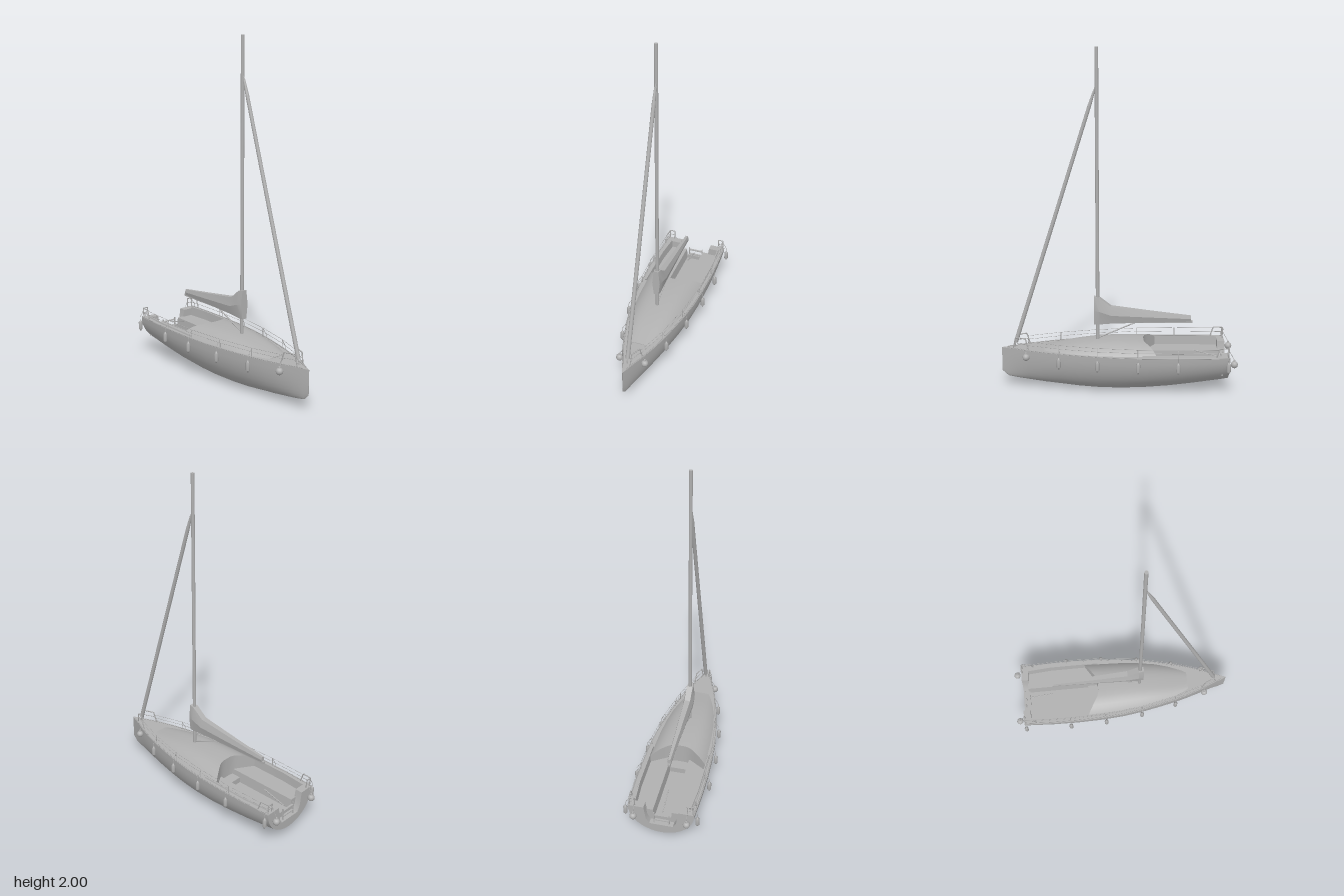
import * as THREE from 'three';
import { toCreasedNormals } from 'three/addons/utils/BufferGeometryUtils.js';

const DECK = 0.245, BENCH = 0.2, SOLE = 0.135;
const V = (x, y, z) => new THREE.Vector3(x, y, z);

// Hull stations: z, half beam at deck, keel height
const STATIONS = [
  [0.69, 0.001, 0.1], [0.655, 0.016, 0.067], [0.6, 0.036, 0.055], [0.53, 0.066, 0.045],
  [0.43, 0.1, 0.031], [0.34, 0.125, 0.021], [0.23, 0.15, 0.009], [0.12, 0.172, 0.002],
  [0, 0.19, 0], [-0.14, 0.201, 0.004], [-0.3, 0.206, 0.017], [-0.45, 0.205, 0.036],
  [-0.6, 0.199, 0.058], [-0.645, 0.196, 0.066],
];

// Half beam at any z
function beam(z) {
  for (let i = 1; i < STATIONS.length; i++) {
    const [a, b] = [STATIONS[i - 1], STATIONS[i]];
    if (z >= b[0]) return THREE.MathUtils.mapLinear(z, a[0], b[0], a[1], b[1]);
  }
  return 0.196;
}

// Surface through rows of points
function loft(rows, crease = 0.4) {
  const n = rows[0].length, index = [];
  for (let i = 0; i < rows.length - 1; i++) {
    for (let j = 0; j < n - 1; j++) {
      const a = i * n + j, b = a + n;
      index.push(a, a + 1, b, a + 1, b + 1, b);
    }
  }
  const g = new THREE.BufferGeometry().setFromPoints(rows.flat());
  g.setIndex(index);
  return toCreasedNormals(g, crease);
}

// Mirrors a half section (outer to inner) across x = 0
const bothSides = (pts) => [...pts, ...pts.slice().reverse().map((p) => V(-p.x, p.y, p.z))];

export function createModel() {
  const boat = new THREE.Group();
  boat.name = 'sailboat';
  const grey = new THREE.MeshStandardMaterial({ color: 0xb0b0b0, side: THREE.DoubleSide });
  grey.name = 'plain grey';

  const add = (name, geometry, x = 0, y = 0, z = 0) => {
    const m = new THREE.Mesh(geometry, grey);
    m.name = name;
    m.position.set(x, y, z);
    boat.add(m);
    return m;
  };
  // Round bar between two points
  const bar = (name, a, b, r0, r1 = r0, sides = 8) => {
    const d = b.clone().sub(a);
    const m = add(name, new THREE.CylinderGeometry(r1, r0, d.length(), sides));
    m.position.copy(a).add(b).multiplyScalar(0.5);
    m.quaternion.setFromUnitVectors(V(0, 1, 0), d.normalize());
    return m;
  };
  const rail = (name, pts, r) => {
    for (let i = 1; i < pts.length; i++) bar(name, pts[i - 1], pts[i], r, r, 5);
  };

  // Hull skin with half-elliptic sections
  const section = ([z, w, k]) => Array.from({ length: 21 }, (_, j) => {
    const a = (j / 20) * Math.PI;
    return V(w * Math.cos(a), DECK - (DECK - k) * Math.sin(a), z);
  });
  add('hull', loft(STATIONS.map(section), 0.6));

  // Foredeck under the cabin
  add('foredeck', loft(STATIONS.filter((s) => s[0] >= -0.14)
    .map(([z, w]) => bothSides([V(w, DECK, z)]))));

  // Side decks, coamings, benches and sole in one stepped section
  const cockpitWidth = (z) => (z > -0.45 ? 0.172 : THREE.MathUtils.mapLinear(z, -0.45, -0.6, 0.172, 0.16));
  add('cockpit', loft([-0.14, -0.3, -0.45, -0.6].map((z) => {
    const w = beam(z), c = cockpitWidth(z);
    return bothSides([V(w, DECK, z), V(c + 0.008, DECK, z), V(c + 0.006, DECK + 0.008, z),
      V(c, DECK + 0.008, z), V(c - 0.004, BENCH, z), V(0.056, BENCH, z), V(0.05, SOLE, z)]);
  })));

  // Stern notch between cockpit and transom
  const notch = [[0.102, DECK], [0.09, 0.16], [0.07, 0.125]];
  add('sternNotch', loft([-0.6, -0.645].map((z) =>
    bothSides([V(beam(z), DECK, z), ...notch.map(([x, y]) => V(x, y, z))]))));

  // Transom, cut out in the middle
  const transom = new THREE.Shape();
  section(STATIONS[13]).forEach((p, i) => (i ? transom.lineTo(p.x, p.y) : transom.moveTo(p.x, p.y)));
  notch.forEach(([x, y]) => transom.lineTo(-x, y));
  notch.slice().reverse().forEach(([x, y]) => transom.lineTo(x, y));
  add('transom', new THREE.ShapeGeometry(transom), 0, 0, -0.645);

  // Cockpit aft bulkhead with a central gap
  const back = new THREE.Shape([[-0.16, DECK], [-0.16, 0.125], [0.16, 0.125], [0.16, DECK],
    [0.102, DECK], [0.095, BENCH], [0.056, BENCH], [0.052, 0.16], [-0.052, 0.16],
    [-0.056, BENCH], [-0.095, BENCH], [-0.102, DECK]].map(([x, y]) => new THREE.Vector2(x, y)));
  add('aftBulkhead', new THREE.ExtrudeGeometry(back, { depth: 0.008, bevelEnabled: false }), 0, 0, -0.608);

  // Boarding ladder
  for (const y of [0.15, 0.185]) add('ladderTread', new THREE.BoxGeometry(0.09, 0.006, 0.012), 0, y, -0.63);
  for (const x of [-0.045, 0.045]) add('ladderSide', new THREE.BoxGeometry(0.006, 0.075, 0.008), x, 0.163, -0.63);

  // Cabin roof: z, half width, crown height; its aft edge sweeps back at the sides
  const cabin = [[0.435, 0.055, 0.004], [0.4, 0.075, 0.01], [0.32, 0.107, 0.027], [0.23, 0.133, 0.042],
    [0.12, 0.151, 0.054], [0, 0.162, 0.058], [-0.09, 0.167, 0.057], [-0.15, 0.17, 0.054]];
  const roof = cabin.map(([z, w, h], i) => Array.from({ length: 17 }, (_, j) => {
    const t = Math.cos((j / 16) * Math.PI), x = w * t;
    const sweep = Math.max(0, (Math.abs(x) - 0.05) / 0.12) * 0.075 * Math.max(0, i - 5) / 2;
    return V(x, DECK + h * (1 - Math.abs(t) ** 3.2), z - sweep);
  }));
  add('cabin', loft(roof, 0.6));
  const edge = roof[roof.length - 1];
  add('cabinFront', loft([roof[0], roof[0].map((p) => V(p.x, DECK, p.z))]));
  add('cabinBulkhead', loft([edge, edge.map((p) => V(p.x, Math.abs(p.x) < 0.06 ? SOLE : BENCH, p.z))]));
  add('companionwayStep', new THREE.BoxGeometry(0.098, 0.035, 0.065), 0, SOLE + 0.017, -0.182);
  bar('tiller', V(0, 0.185, -0.6), V(0, 0.225, -0.45), 0.003);

  // Mast, furled headsail and boom vang
  bar('mast', V(0, 0.25, 0.12), V(0, 2, 0.12), 0.0105, 0.0105, 12);
  const tack = V(0, 0.25, 0.615), head = V(0, 1.78, 0.127);
  const along = (t) => tack.clone().lerp(head, t);
  bar('forestay', tack, head, 0.004);
  bar('furledHeadsail', along(0.02), along(0.93), 0.0125, 0.0105, 10);
  bar('furledHeadsailTip', along(0.93), along(0.985), 0.0105, 0.006, 10);
  bar('boomVang', V(0, 0.305, 0.115), V(0, 0.402, -0.11), 0.004);

  // Stowed mainsail: z, bottom, top, half width
  const sail = [[0.142, 0.39, 0.56, 0.024], [0.11, 0.392, 0.555, 0.031], [0.04, 0.397, 0.5, 0.029],
    [-0.2, 0.402, 0.468, 0.021], [-0.43, 0.405, 0.44, 0.012]];
  const sailRows = sail.map(([z, lo, hi, w]) => {
    const mid = (lo + hi) / 2;
    return [[0.6, lo], [1, mid], [0.6, hi], [-0.6, hi], [-1, mid], [-0.6, lo], [0.6, lo]]
      .map(([k, y]) => V(k * w, y, z));
  });
  const cap = (row) => row.map(() => V(0, (row[0].y + row[2].y) / 2, row[0].z));
  add('stowedMainsail', loft([cap(sailRows[0]), ...sailRows, cap(sailRows[4])], 0.3));
  add('boom', new THREE.BoxGeometry(0.016, 0.014, 0.56), 0, 0.404, -0.16);

  // Toe rails, lifelines, pulpits and fenders on both sides
  for (const s of [1, -1]) {
    const side = (z, y, inset = 0.01) => V(s * (beam(z) - inset), y, z);
    rail('toeRail', STATIONS.slice(1).map(([z]) => side(z, DECK + 0.002, 0.004)), 0.003);

    const posts = [0.345, 0.12, -0.115, -0.345];
    posts.forEach((z) => bar('stanchion', side(z, DECK), side(z, 0.298), 0.0025));
    for (const y of [0.275, 0.297]) {
      rail('lifeline', [0.54, ...posts, -0.58].map((z) => side(z, y)), 0.0012);
    }
    rail('bowPulpit', [side(0.525, DECK), side(0.545, 0.314), side(0.605, 0.314, 0.008),
      side(0.62, DECK, 0.008)], 0.0035);
    rail('bowPulpitMidRail', [side(0.535, 0.282), side(0.612, 0.282, 0.008)], 0.002);
    rail('sternPulpit', [side(-0.565, DECK), side(-0.585, 0.302), side(-0.64, 0.302),
      V(s * 0.155, 0.302, -0.64), V(s * 0.155, DECK, -0.635)], 0.0035);
    bar('sternPulpitPost', side(-0.635, DECK), side(-0.64, 0.302), 0.0035);
    rail('sternPulpitMidRail', [side(-0.575, 0.274), side(-0.638, 0.274), V(s * 0.155, 0.274, -0.638)], 0.002);

    // Long fenders hung from the lifelines
    const fender = [[0, -0.034], [0.004, -0.034], [0.005, -0.028], [0.012, -0.022],
      [0.012, 0.022], [0.005, 0.028], [0.004, 0.034], [0, 0.034]].map((p) => new THREE.Vector2(...p));
    for (const z of [...posts, -0.635]) {
      const x = s * (beam(z) + 0.016);
      add('fender', new THREE.LatheGeometry(fender, 10), x, 0.195, z);
      rail('fenderRope', [V(x, 0.225, z), V(x, 0.25, z), side(z, 0.295)], 0.0015);
    }

    // Ball fenders at bow and stern
    for (const [x, y, z] of [[0.078, 0.21, 0.54], [0.157, 0.195, -0.674]]) {
      add('ballFender', new THREE.SphereGeometry(0.021, 12, 8), s * x, y, z);
      add('ballFenderNeck', new THREE.CylinderGeometry(0.005, 0.008, 0.012, 8), s * x, y + 0.023, z);
      const tie = z > 0 ? side(z, 0.28) : V(s * 0.157, 0.285, -0.64);
      bar('ballFenderRope', V(s * x, y + 0.026, z), tie, 0.0015, 0.0015, 5);
    }
  }
  return boat;
}
